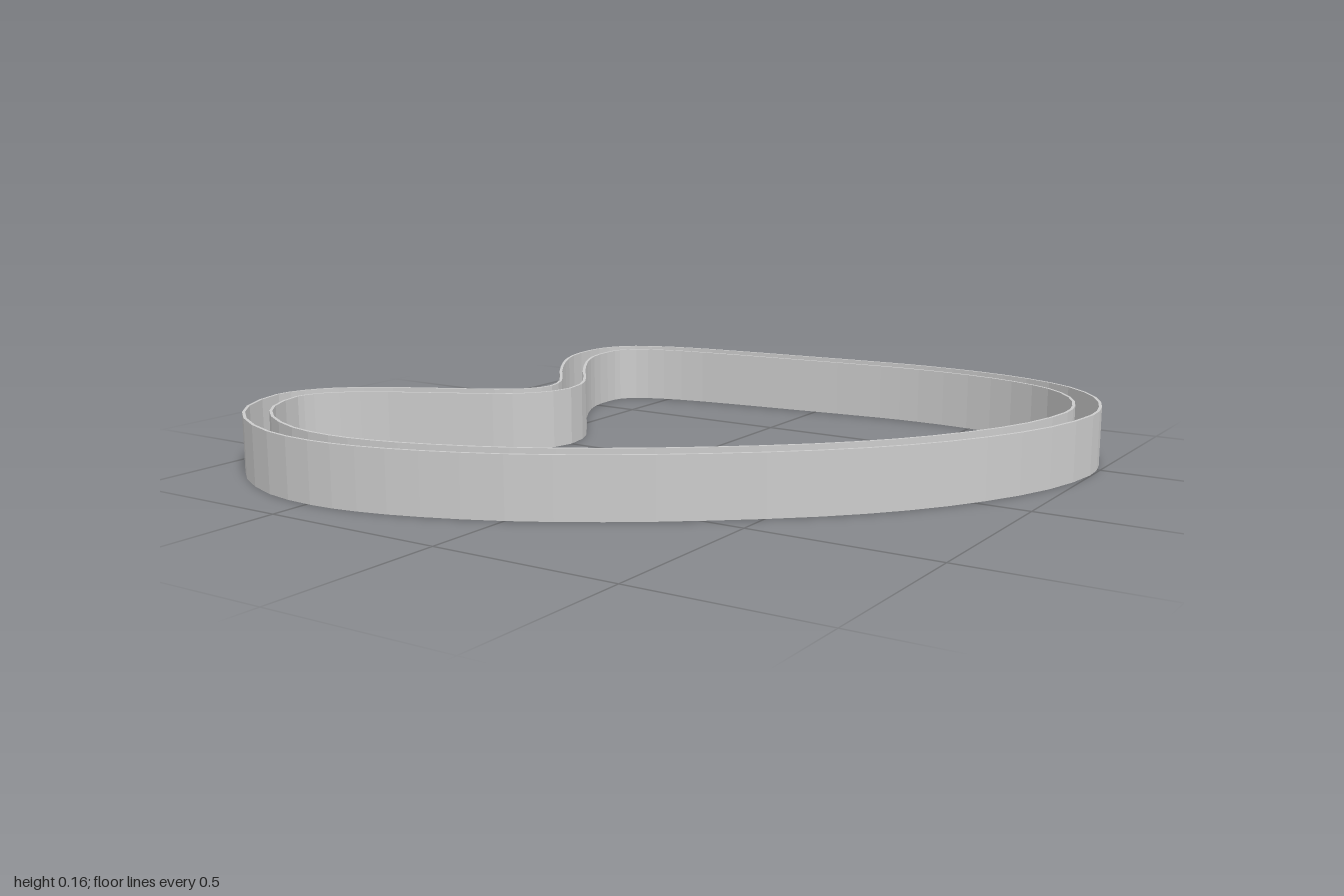
import * as THREE from 'three';

const HEIGHT = 0.16;
const WALL = 0.008;

// Outline seen from above as [x, z], running counter-clockwise in that plane
const OUTLINE = [
  [-0.72, -0.57], [-0.705, -0.66], [-0.645, -0.73], [-0.54, -0.778], [-0.4, -0.81],
  [-0.1, -0.849], [0.2, -0.885], [0.33, -0.892], [0.5, -0.885], [0.66, -0.855],
  [0.81, -0.79], [0.92, -0.68], [0.98, -0.55], [0.997, -0.43], [0.96, -0.23],
  [0.87, -0.03], [0.75, 0.15], [0.6, 0.315], [0.4, 0.487], [0.2, 0.633],
  [0, 0.75], [-0.19, 0.83], [-0.35, 0.875], [-0.49, 0.89], [-0.65, 0.87],
  [-0.82, 0.79], [-0.94, 0.67], [-0.998, 0.51], [-0.98, 0.425], [-0.925, 0.345],
  [-0.8, 0.255], [-0.54, 0.12], [-0.47, 0.063], [-0.443, -0.005], [-0.47, -0.085],
  [-0.56, -0.205], [-0.655, -0.35], [-0.705, -0.46],
];

const curve = new THREE.CatmullRomCurve3(
  OUTLINE.map(([x, z]) => new THREE.Vector3(x, z, 0)), true, 'centripetal');

// Outline moved inwards by a distance along its normals
function insetOutline(distance) {
  const count = OUTLINE.length * 2;
  const points = [];
  for (let i = 0; i < count; i++) {
    const p = curve.getPoint(i / count);
    const t = curve.getTangent(i / count);
    points.push(new THREE.Vector2(p.x - t.y * distance, p.y + t.x * distance));
  }
  return points;
}

// Thin upright band that follows the outline
function band(name, inset) {
  const shape = new THREE.Shape(insetOutline(inset));
  shape.holes.push(new THREE.Path(insetOutline(inset + WALL)));
  const geometry = new THREE.ExtrudeGeometry(shape, { depth: HEIGHT, bevelEnabled: false });
  geometry.rotateX(Math.PI / 2).translate(0, HEIGHT, 0);
  const material = new THREE.MeshStandardMaterial({ color: 0xcccccc, flatShading: true });
  const mesh = new THREE.Mesh(geometry, material);
  mesh.name = name;
  return mesh;
}

export function createModel() {
  const group = new THREE.Group();
  group.name = 'doubleWallOutline';
  group.add(band('outerWall', 0), band('innerWall', 0.069));
  return group;
}
